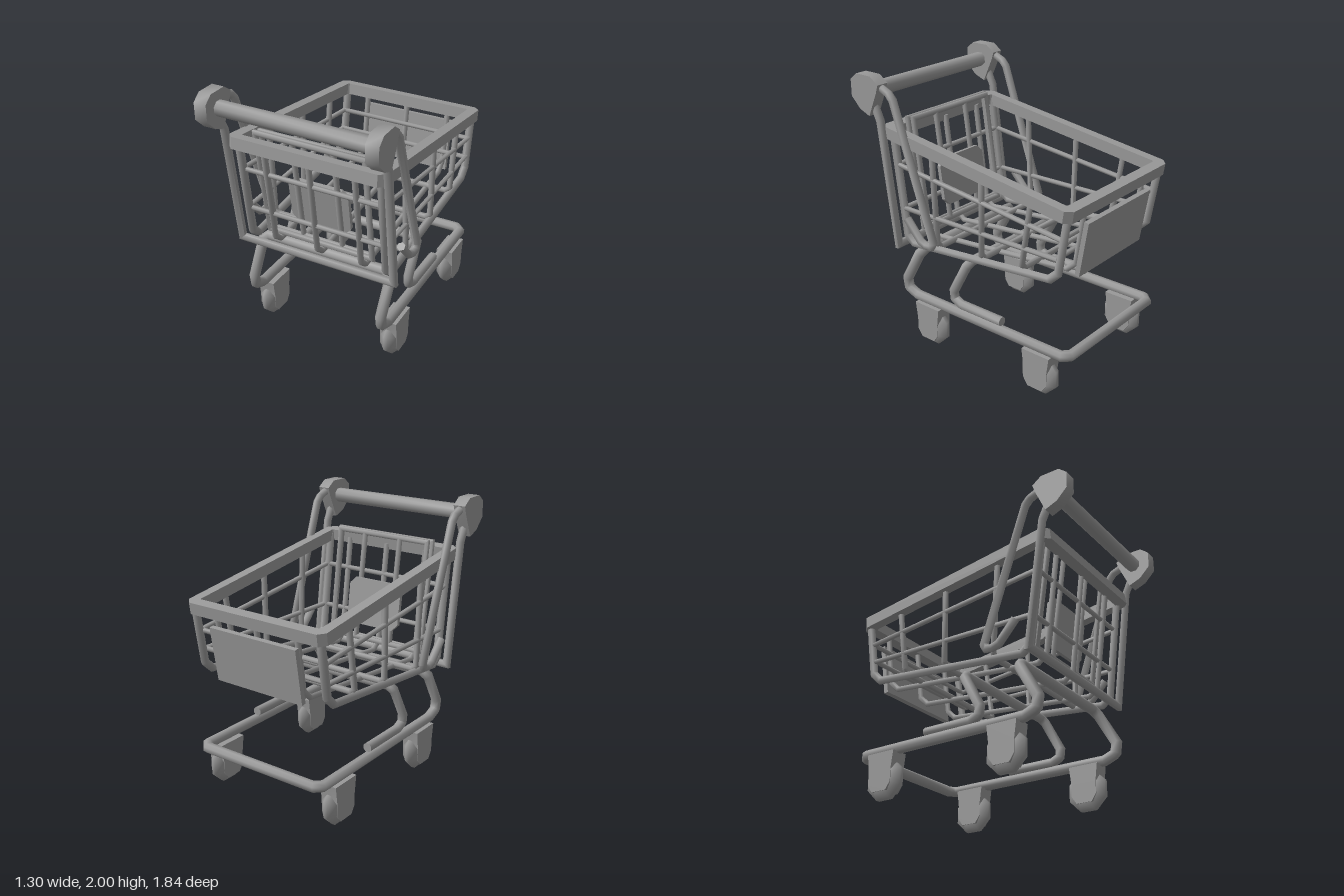
import * as THREE from 'three';
import { toCreasedNormals } from 'three/addons/utils/BufferGeometryUtils.js';

const material = new THREE.MeshStandardMaterial({ color: 0x999999 });
const V = (x, y, z) => new THREE.Vector3(x, y, z);

// Cut each inner corner of a path into two, for a bevelled bend
function bend(points, size) {
  const out = [points[0]];
  for (let i = 1; i < points.length - 1; i++) {
    for (const q of [points[i - 1], points[i + 1]]) {
      const d = q.clone().sub(points[i]);
      out.push(points[i].clone().addScaledVector(d.normalize(), size));
    }
  }
  out.push(points[points.length - 1]);
  return out;
}

// Tube along a polyline with mitred corners and capped ends
function tubeGeometry(path, radius, sides) {
  const n = path.length;
  const dirs = path.slice(1).map((p, i) => p.clone().sub(path[i]).normalize());
  const ref = Math.abs(dirs[0].x) > 0.8 ? V(0, 1, 0) : V(1, 0, 0);
  const u = ref.addScaledVector(dirs[0], -ref.dot(dirs[0])).normalize();
  const v = dirs[0].clone().cross(u);
  let ring = [];
  for (let j = 0; j < sides; j++) {
    const a = ((j + 0.5) / sides) * Math.PI * 2;
    ring.push(path[0].clone().addScaledVector(u, Math.cos(a) * radius).addScaledVector(v, Math.sin(a) * radius));
  }
  const pos = [], idx = [];
  for (let i = 0; i < n; i++) {
    if (i > 0) {
      const d = dirs[i - 1];
      const normal = d.clone().add(dirs[Math.min(i, n - 2)]).normalize();
      ring = ring.map((p) => p.clone().addScaledVector(d, path[i].clone().sub(p).dot(normal) / d.dot(normal)));
    }
    ring.forEach((p) => pos.push(p.x, p.y, p.z));
    for (let j = 0; j < sides && i < n - 1; j++) {
      const a = i * sides + j, b = i * sides + (j + 1) % sides;
      idx.push(a, b, b + sides, a, b + sides, a + sides);
    }
  }
  const last = (n - 1) * sides;
  for (let j = 1; j < sides - 1; j++) idx.push(0, j + 1, j, last, last + j, last + j + 1);
  const g = new THREE.BufferGeometry();
  g.setAttribute('position', new THREE.Float32BufferAttribute(pos, 3));
  g.setIndex(idx);
  return toCreasedNormals(g, 1.15);
}

// Polygon in the z/y side plane, extruded along x and centred on x = 0
function sideProfile(points, width) {
  const shape = new THREE.Shape(points.map(([z, y]) => new THREE.Vector2(-z, y)));
  const g = new THREE.ExtrudeGeometry(shape, { depth: width, bevelEnabled: false })
    .translate(0, 0, -width / 2).rotateY(Math.PI / 2);
  return toCreasedNormals(g, 1.15);
}

// Rectangle with cut corners
function cutRect(Type, w, h, c) {
  return new Type([[-w + c, -h], [w - c, -h], [w, -h + c], [w, h - c], [w - c, h], [-w + c, h], [-w, h - c], [-w, -h + c]]
    .map(([x, y]) => new THREE.Vector2(x, y)));
}

export function createModel() {
  const model = new THREE.Group();
  const add = (name, geometry, parent) => {
    const mesh = new THREE.Mesh(geometry, material);
    mesh.name = name;
    parent.add(mesh);
    return mesh;
  };
  const tube = (name, path, r, sides, parent) => add(name, tubeGeometry(path, r, sides), parent);
  const group = (name) => {
    const g = new THREE.Group();
    g.name = name;
    model.add(g);
    return g;
  };

  // Push handle, its end caps and side braces
  const handle = group('handle');
  tube('handleBar', [V(-0.58, 1.88, 0.79), V(0.58, 1.88, 0.79)], 0.055, 8, handle);
  const cap = sideProfile([[0.92, 1.95], [0.86, 2], [0.72, 2], [0.65, 1.95], [0.67, 1.89],
    [0.75, 1.715], [0.84, 1.75], [0.92, 1.83]], 0.092);
  for (const s of [-1, 1]) {
    add('handleCap', cap, handle).position.x = s * 0.603;
    tube('handleBrace', bend([V(s * 0.6, 1.93, 0.69), V(s * 0.6, 1.88, 0.57), V(s * 0.6, 0.85, 0.215),
      V(s * 0.6, 0.835, 0.325), V(s * 0.6, 1.0, 0.475)], 0.03), 0.03, 6, handle);
  }
  tube('handleFrame', [V(-0.6, 1.8, 0.75), V(-0.6, 1.68, 0.695), V(-0.6, 0.77, 0.575), V(0.6, 0.77, 0.575),
    V(0.6, 1.68, 0.695), V(0.6, 1.8, 0.75)], 0.03, 6, handle);

  // Sloping basket rim
  const basket = group('basket');
  const rimShape = cutRect(THREE.Shape, 0.583, 0.825, 0.045);
  rimShape.holes.push(cutRect(THREE.Path, 0.508, 0.748, 0.01));
  const rim = add('rim', new THREE.ExtrudeGeometry(rimShape, { depth: 0.085, bevelEnabled: false })
    .translate(0, 0, -0.0425).rotateX(Math.PI / 2), basket);
  rim.position.set(0, 1.488, -0.1);
  rim.rotation.x = -0.137;

  // Heavy side rails running down the back, along the floor and up the front
  for (const x of [-0.53, 0.53]) {
    tube('sideRail', bend([V(x, 1.35, -0.87), V(x, 0.9, -0.8), V(x, 0.77, 0.54), V(x, 1.6, 0.645)], 0.06),
      0.03, 6, basket);
  }

  // Lengthwise wires: back, floor and front in one piece
  for (const x of [-0.34, 0, 0.34]) {
    tube('lengthWire', bend([V(x, 1.36, -0.865), V(x, 0.9, -0.8), V(x, 0.775, 0.54), V(x, 1.59, 0.645)], 0.06),
      0.021, 6, basket);
  }

  // Crosswise wires: side, floor, side (top y, top z, floor y, floor z)
  for (const [ty, tz, fy, fz] of [[1.51, 0.28, 0.815, 0.25], [1.44, -0.17, 0.855, -0.16], [1.38, -0.58, 0.895, -0.51]]) {
    tube('crossWire', bend([V(-0.53, ty, tz), V(-0.53, fy, fz), V(0.53, fy, fz), V(0.53, ty, tz)], 0.03),
      0.022, 6, basket);
  }

  // Wire rings around the basket (front y and z, back y and z)
  const w = 0.535;
  for (const [fy, fz, by, bz] of [[1.36, 0.61, 1.2, -0.825], [1.035, 0.57, 1.055, -0.79]]) {
    tube('wireRing', [V(0, fy, fz), V(w, fy, fz), V(w, by, bz), V(-w, by, bz), V(-w, fy, fz), V(0, fy, fz)],
      0.018, 6, basket);
  }

  // Sign panel on the back
  const panel = add('backPanel', new THREE.BoxGeometry(0.73, 0.4, 0.035), basket);
  panel.position.set(0, 1.08, -0.868);
  panel.rotation.x = -0.155;

  // Folded child seat inside the front
  const seat = group('childSeat');
  for (const [half, z] of [[0.405, 0.625], [0.385, 0.59]]) {
    tube('seatFrame', [V(0, 1.665, z), V(half, 1.665, z), V(half, 0.86, z - 0.115), V(-half, 0.86, z - 0.115),
      V(-half, 1.665, z), V(0, 1.665, z)], 0.021, 6, seat);
  }
  for (const x of [-0.15, 0.16]) tube('seatBar', [V(x, 1.665, 0.59), V(x, 0.86, 0.475)], 0.02, 6, seat);
  const back = add('seatBackrest', new THREE.ExtrudeGeometry(cutRect(THREE.Shape, 0.23, 0.178, 0.05),
    { depth: 0.03, bevelEnabled: false }), seat);
  back.position.set(0, 1.155, 0.475);
  back.rotation.x = 0.14;

  // Chassis: lower frame closed at the back, and the shorter open support above it
  const chassis = group('chassis');
  const lower = [V(0.515, 0.735, 0.43), V(0.515, 0.42, 0.61), V(0.515, 0.345, 0.53), V(0.515, 0.345, -0.88)];
  const upper = [V(0.505, 0.765, -0.015), V(0.505, 0.47, 0.145), V(0.505, 0.41, 0.09), V(0.505, 0.41, -0.32)];
  const mirrored = (half) => [...half.slice().reverse(), ...half.map((p) => V(-p.x, p.y, p.z))];
  const rearMiddle = V(0, lower[3].y, lower[3].z);
  tube('lowerFrame', bend([rearMiddle, ...mirrored(lower), rearMiddle], 0.045), 0.039, 8, chassis);
  tube('upperSupport', bend(mirrored(upper), 0.035), 0.035, 8, chassis);

  // Castors: a housing and an octagonal bevelled wheel
  const fork = sideProfile([[0.115, 0.32], [-0.115, 0.32], [-0.098, 0.19], [-0.098, 0.1], [-0.06, 0.045],
    [0.06, 0.045], [0.098, 0.1], [0.098, 0.19]], 0.13);
  const profile = [[0, -0.062], [0.105, -0.062], [0.156, -0.015], [0.156, 0.015], [0.105, 0.062], [0, 0.062]]
    .map(([r, y]) => new THREE.Vector2(r, y));
  const wheel = new THREE.LatheGeometry(profile, 8, Math.PI / 8).rotateZ(Math.PI / 2).translate(0, 0.144, 0);
  for (const x of [-0.508, 0.508]) {
    for (const z of [0.345, -0.66]) {
      const castor = new THREE.Group();
      castor.name = 'castor';
      castor.position.set(x, 0, z);
      chassis.add(castor);
      add('fork', fork, castor);
      add('wheel', wheel, castor);
    }
  }
  return model;
}
